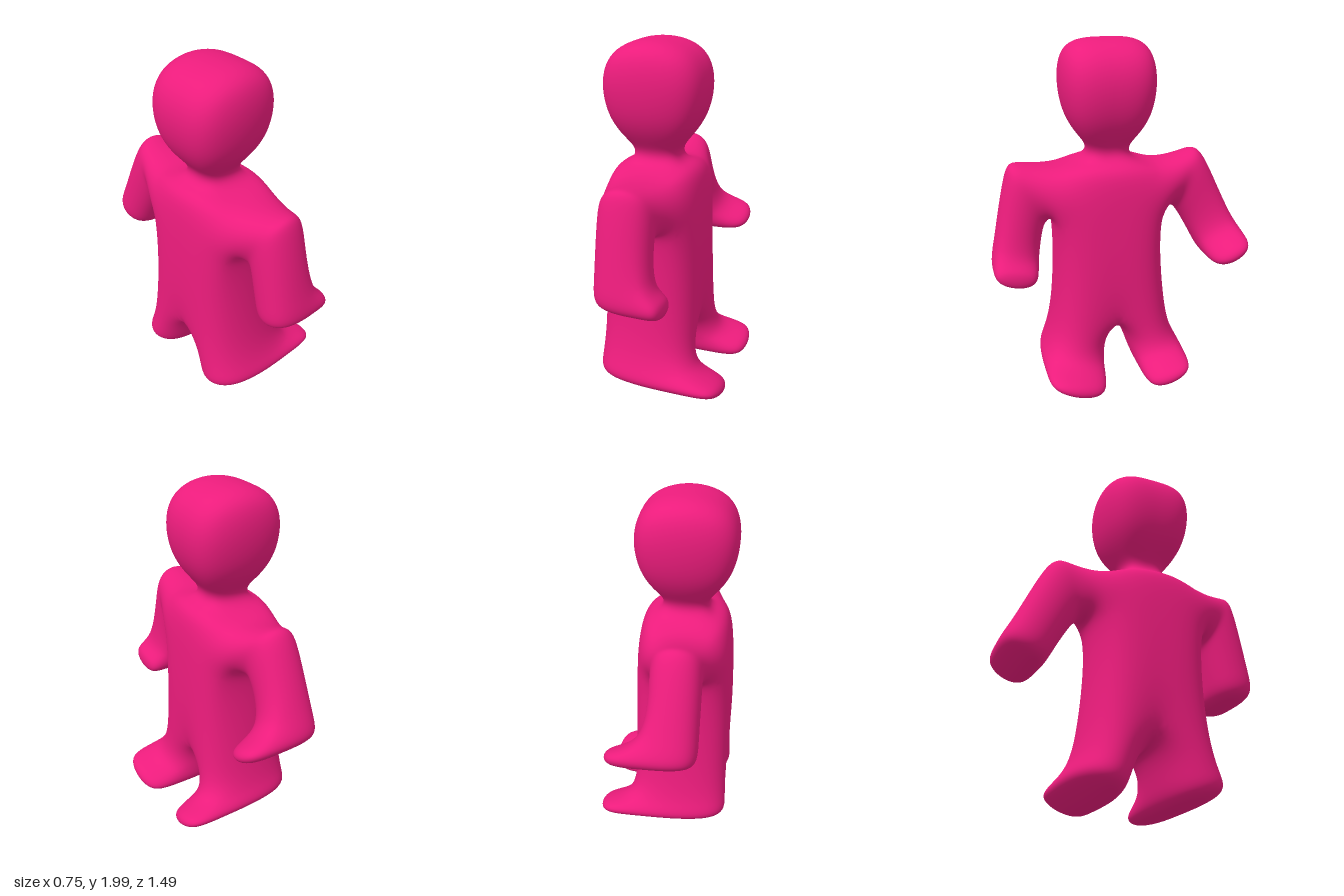
import * as THREE from 'three';

const MID_X = -0.1; // depth centre of the figure, which looks towards +x
const MID_Z = 0.06; // centre line between the two sides

// One Catmull-Clark step on a closed quad mesh
function subdivide({ points, quads }) {
  const sum = points.map(() => ({ f: new THREE.Vector3(), e: new THREE.Vector3(), n: 0 }));
  const out = points.map((p) => p.clone());
  const edges = new Map();
  const key = (a, b) => (a < b ? a + '_' + b : b + '_' + a);
  const centres = quads.map((q) => {
    const c = new THREE.Vector3();
    q.forEach((i) => c.addScaledVector(points[i], 0.25));
    q.forEach((a, k) => {
      const b = q[(k + 1) % 4], id = key(a, b);
      if (!edges.has(id)) edges.set(id, { a, b, f: new THREE.Vector3() });
      edges.get(id).f.add(c);
      sum[a].f.add(c);
      sum[a].n++;
    });
    return out.push(c) - 1;
  });
  for (const e of edges.values()) {
    const ends = points[e.a].clone().add(points[e.b]);
    sum[e.a].e.addScaledVector(ends, 0.5);
    sum[e.b].e.addScaledVector(ends, 0.5);
    e.index = out.push(ends.add(e.f).multiplyScalar(0.25)) - 1;
  }
  points.forEach((p, i) => {
    const { f, e, n } = sum[i];
    out[i].copy(p).multiplyScalar((n - 3) / n).addScaledVector(f, 1 / (n * n)).addScaledVector(e, 2 / (n * n));
  });
  const next = [];
  quads.forEach((q, j) => q.forEach((a, k) => {
    const after = edges.get(key(a, q[(k + 1) % 4])).index;
    const before = edges.get(key(a, q[(k + 3) % 4])).index;
    next.push([a, after, centres[j], before]);
  }));
  return { points: out, quads: next };
}

// Outline points: [z, y, half depth]
function outline() {
  const p = {};
  // torso, neck and head rows: left, centre, right
  const row = (name, zl, zr, y, h) => {
    p[name + 'L'] = [zl, y, h];
    p[name + 'C'] = [MID_Z, y, h];
    p[name + 'R'] = [zr, y, h];
  };
  const evenRow = (name, w, y, h) => row(name, MID_Z + w, MID_Z - w, y, h);
  row('hip', 0.41, -0.285, 0.42, 0.285);
  p.hipC = [0.04, 0.34, 0.285];
  row('chest', 0.385, -0.235, 1.03, 0.275);
  p.shoulderL = [0.36, 1.305, 0.21];
  p.shoulderC = [MID_Z, 1.32, 0.27];
  p.shoulderR = [-0.24, 1.285, 0.21];
  evenRow('neckBase', 0.15, 1.325, 0.15);
  evenRow('neck', 0.1, 1.41, 0.1);
  evenRow('jaw', 0.285, 1.565, 0.285);
  evenRow('crown', 0.295, 2.02, 0.3);
  // limb rings: outer and inner corner
  const ring = (name, outer, inner, h) => {
    p[name + 'Out'] = [...outer, h];
    p[name + 'In'] = [...inner, h];
  };
  ring('armTopL', [0.605, 1.35], [0.42, 0.955], 0.16);
  ring('armL', [0.655, 1.33], [0.435, 0.93], 0.165);
  ring('wristL', [0.745, 0.83], [0.465, 0.77], 0.165);
  ring('handL', [0.775, 0.68], [0.505, 0.62], 0.165);
  ring('armTopR', [-0.445, 1.37], [-0.31, 1.0], 0.15);
  ring('armR', [-0.515, 1.37], [-0.345, 0.985], 0.15);
  ring('wristR', [-0.71, 0.91], [-0.455, 0.79], 0.15);
  ring('handR', [-0.78, 0.8], [-0.525, 0.66], 0.15);
  ring('ankleL', [0.48, 0.19], [0.1, 0.12], 0.3);
  ring('footL', [0.53, 0.09], [0.15, -0.04], 0.3);
  ring('ankleR', [-0.335, 0.2], [-0.04, 0.13], 0.3);
  ring('footR', [-0.395, 0.11], [-0.095, -0.02], 0.3);
  return p;
}

function buildCage() {
  const points = [], quads = [], front = {}, back = {};
  for (const [name, [z, y, h]] of Object.entries(outline())) {
    front[name] = points.push(new THREE.Vector3(MID_X + h, y, z)) - 1;
    back[name] = points.push(new THREE.Vector3(MID_X - h, y, z)) - 1;
  }

  // Cells of the flat outline; a tip value pulls the front face forward to that x
  const cells = [];
  const rows = ['hip', 'chest', 'shoulder', 'neckBase', 'neck', 'jaw', 'crown'];
  for (const s of ['L', 'R']) {
    const cell = (names, tip) => cells.push({ names: s === 'L' ? names.reverse() : names, tip });
    for (let i = 0; i < rows.length - 1; i++) {
      const a = rows[i], b = rows[i + 1];
      cell([a + 'C', a + s, b + s, b + 'C']);
    }
    const link = (a, b, tip) => cell([a + s + 'Out', a + s + 'In', b + s + 'In', b + s + 'Out'], tip);
    cell(['shoulder' + s, 'chest' + s, 'armTop' + s + 'In', 'armTop' + s + 'Out']);
    link('armTop', 'arm');
    link('arm', 'wrist');
    link('wrist', 'hand', s === 'L' ? 0.15 : 0.27);
    cell(['hip' + s, 'hipC', 'ankle' + s + 'In', 'ankle' + s + 'Out']);
    link('ankle', 'foot', 0.39);
  }

  const directed = new Set();
  const eachEdge = (names, fn) => names.forEach((a, i) => fn(a, names[(i + 1) % 4]));
  cells.forEach(({ names }) => eachEdge(names, (a, b) => directed.add(a + '>' + b)));
  for (const { names, tip } of cells) {
    quads.push(names.map((n) => back[n]).reverse());
    // walls along the outer edge of the outline
    eachEdge(names, (a, b) => {
      if (!directed.has(b + '>' + a)) quads.push([front[b], front[a], back[a], back[b]]);
    });
    if (tip === undefined) {
      quads.push(names.map((n) => front[n]));
      continue;
    }
    // fingers or toes: a thinner, narrower block ahead of the limb's end
    const end = {};
    const at = (n) => points[front[n]];
    const pick = (level, side) => names.find((n) => level.test(n) && n.endsWith(side));
    const low = /^(hand|foot)/, high = /^(wrist|ankle)/;
    const narrow = (level, side) => at(pick(level, side)).clone()
      .lerp(at(pick(level, side === 'Out' ? 'In' : 'Out')), 0.06);
    for (const side of ['Out', 'In']) {
      const base = narrow(low, side);
      const top = base.clone().lerp(narrow(high, side), 0.8);
      base.x = top.x = tip;
      end[pick(low, side)] = points.push(base) - 1;
      end[pick(high, side)] = points.push(top) - 1;
    }
    eachEdge(names, (a, b) => quads.push([front[a], front[b], end[b], end[a]]));
    quads.push(names.map((n) => end[n]));
  }
  return { points, quads };
}

export function createModel() {
  let mesh = buildCage();
  for (let i = 0; i < 4; i++) mesh = subdivide(mesh);

  const geometry = new THREE.BufferGeometry().setFromPoints(mesh.points);
  geometry.setIndex(mesh.quads.flatMap(([a, b, c, d]) => [a, b, c, a, c, d]));

  // Stand on the ground, centred
  geometry.computeBoundingBox();
  const { min, max } = geometry.boundingBox;
  geometry.translate(-(min.x + max.x) / 2, -min.y, -(min.z + max.z) / 2);
  geometry.computeVertexNormals();

  const body = new THREE.Mesh(geometry, new THREE.MeshStandardMaterial({ color: 0xec1c7c }));
  body.name = 'figureBody';
  const group = new THREE.Group();
  group.name = 'figure';
  group.add(body);
  return group;
}
